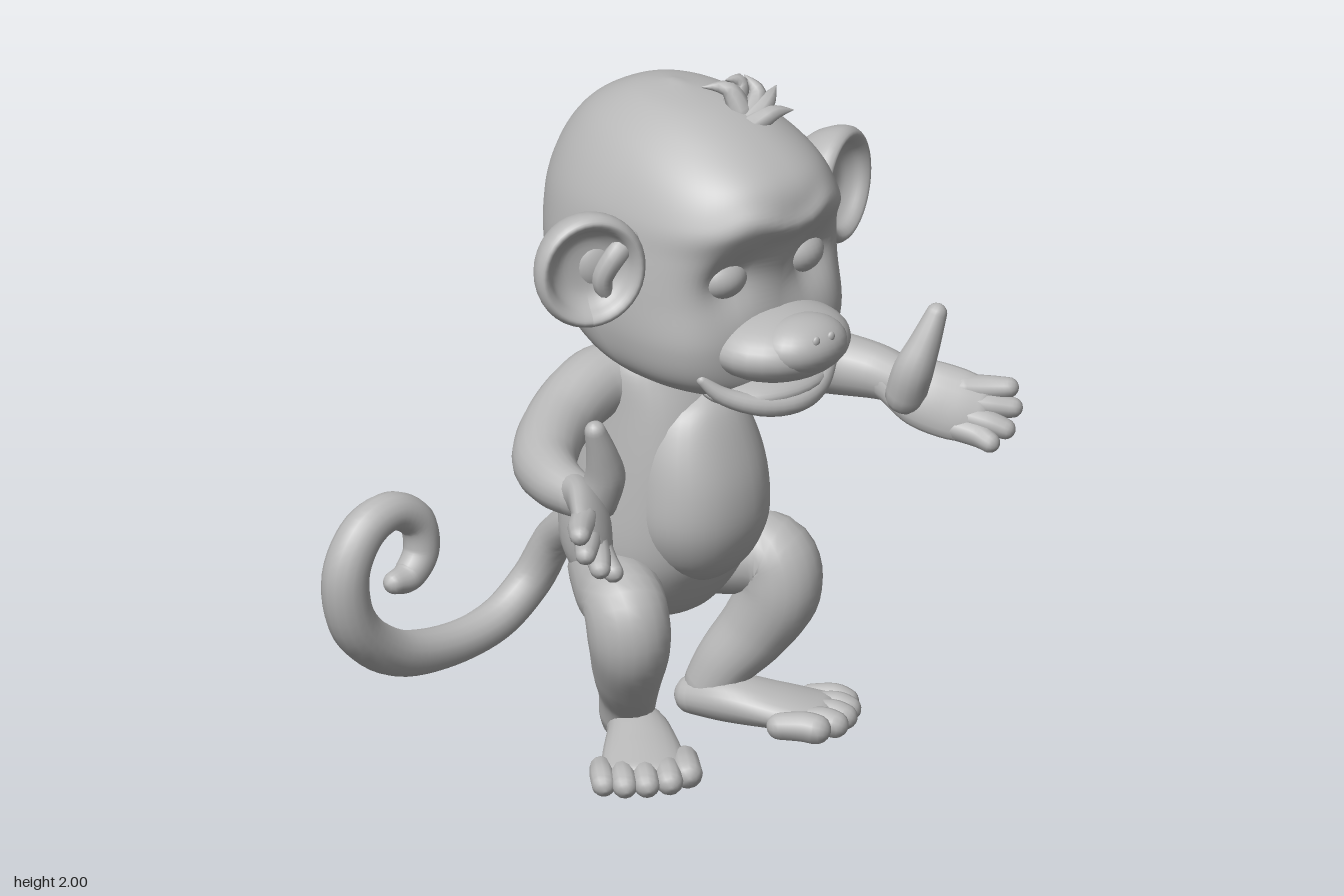
import * as THREE from 'three';

const fur = new THREE.MeshStandardMaterial({ color: 0xb8b8b8 });
fur.name = 'plain grey';

// Catmull-Rom interpolation of every column in a list of rows
function spline(rows, t) {
  const n = rows.length - 1;
  const i = Math.min(Math.floor(t * n), n - 1), f = t * n - i;
  const [a, b, c, d] = [-1, 0, 1, 2].map(o => rows[Math.min(Math.max(i + o, 0), n)]);
  return b.map((_, k) => b[k] + 0.5 * f * (c[k] - a[k] + f * (2 * a[k] - 5 * b[k] + 4 * c[k] - d[k]
    + f * (3 * (b[k] - c[k]) + d[k] - a[k]))));
}

// Closed smooth skin over rings of Vector3, with a pole at each end
function skin(rings) {
  const m = rings[0].length, n = rings.length, pos = [], idx = [];
  rings.forEach(r => r.forEach(p => pos.push(p.x, p.y, p.z)));
  for (const r of [rings[0], rings[n - 1]]) {
    const c = r.reduce((s, p) => s.add(p), new THREE.Vector3()).divideScalar(m);
    pos.push(c.x, c.y, c.z);
  }
  for (let j = 0; j < m; j++) {
    const k = (j + 1) % m;
    for (let i = 0; i < n - 1; i++) {
      const a = i * m + j, b = i * m + k;
      idx.push(a, b, b + m, a, b + m, a + m);
    }
    idx.push(n * m, k, j, n * m + 1, (n - 1) * m + j, (n - 1) * m + k);
  }
  const g = new THREE.BufferGeometry();
  g.setAttribute('position', new THREE.Float32BufferAttribute(pos, 3));
  g.setIndex(idx);
  g.computeVertexNormals();
  return g;
}

// Round-ended limb through rows [x, y, z, radius along hint, other radius]
function limb(rows, hint = [0, 1, 0], steps = 24, sides = 16) {
  rows = rows.map(r => (r.length < 5 ? [...r, r[3]] : r));
  const h = new THREE.Vector3(...hint), rings = [];
  const ring = (t, shift, scale) => {
    const [x, y, z, a, b] = spline(rows, t);
    const p = spline(rows, Math.max(t - 0.01, 0)), q = spline(rows, Math.min(t + 0.01, 1));
    const T = new THREE.Vector3(q[0] - p[0], q[1] - p[1], q[2] - p[2]).normalize();
    const U = h.clone().addScaledVector(T, -T.dot(h)).normalize();
    const V = T.clone().cross(U);
    const c = new THREE.Vector3(x, y, z).addScaledVector(T, shift * Math.min(a, b));
    rings.push(Array.from({ length: sides }, (_, j) => {
      const w = j / sides * Math.PI * 2;
      return c.clone().addScaledVector(U, a * scale * Math.cos(w)).addScaledVector(V, b * scale * Math.sin(w));
    }));
  };
  const caps = [0.15, 0.5, 0.85, 1.2];
  caps.forEach(w => ring(0, -Math.cos(w), Math.sin(w)));
  for (let i = 0; i <= steps; i++) ring(i / steps, 0, 1);
  caps.reverse().forEach(w => ring(1, Math.cos(w), Math.sin(w)));
  return skin(rings);
}

// Upright body from rows [y, half width, front z, back z, front power]; a lower power is squarer
function stack(rows, steps, sides, rule) {
  return skin(Array.from({ length: steps + 1 }, (_, i) => {
    const [y, w, f, b, power] = spline(rows, i / steps);
    return Array.from({ length: sides }, (_, j) => {
      const a = j / sides * Math.PI * 2, s = Math.sin(a), c = Math.cos(a);
      const e = c > 0 ? power : 0.9;
      const p = new THREE.Vector3(Math.sign(s) * Math.abs(s) ** e * Math.max(w, 0.002), y,
        (f + b) / 2 + Math.sign(c) * Math.abs(c) ** Math.min(e + 0.1, 1) * (f - b) / 2);
      if (rule) rule(p, c);
      return p;
    });
  }));
}

const ball = (c, r) => new THREE.SphereGeometry(1, 28, 20).scale(...r).translate(...c);

function part(parent, name, geometry) {
  const m = new THREE.Mesh(geometry, fur);
  m.name = name;
  parent.add(m);
}

// Mirror a geometry across x = 0, keeping faces outward
function mirrored(g) {
  const c = g.clone().scale(-1, 1, 1);
  const ix = c.index.array;
  for (let i = 0; i < ix.length; i += 3) [ix[i], ix[i + 1]] = [ix[i + 1], ix[i]];
  c.computeVertexNormals();
  return c;
}

function pair(parent, name, geometry) {
  part(parent, 'left ' + name, geometry);
  part(parent, 'right ' + name, mirrored(geometry));
}

const bump = (d, w) => Math.exp(-((d / w) ** 2));

// Eye sockets, heart-shaped brow and nose bridge pressed into the face
function shapeFace(p, front) {
  if (front <= 0) return;
  const ax = Math.abs(p.x);
  const brow = 1.655 + 0.05 * bump(ax - 0.13, 0.08) - 0.08 * Math.max(0, ax - 0.2);
  p.z -= 0.06 * bump(ax - 0.14, 0.09) * bump(p.y - 1.51, 0.08);
  p.z += 0.018 * bump(p.y - brow, 0.035) * bump(ax, 0.24);
  p.z += 0.012 * bump(ax, 0.04) * bump(p.y - 1.5, 0.1);
}

export function createModel() {
  const model = new THREE.Group();
  model.name = 'monkey';

  // Torso and round belly
  part(model, 'torso', stack([
    [0.355, 0.03, 0, -0.12, 0.9], [0.39, 0.15, 0.08, -0.2, 0.9], [0.48, 0.225, 0.15, -0.3, 0.85],
    [0.6, 0.25, 0.2, -0.345, 0.8], [0.8, 0.235, 0.21, -0.3, 0.8], [1.0, 0.215, 0.18, -0.23, 0.8],
    [1.12, 0.205, 0.135, -0.175, 0.85], [1.18, 0.165, 0.11, -0.14, 0.9], [1.25, 0.1, 0.09, -0.1, 0.9],
  ], 40, 36));
  part(model, 'belly', stack([
    [0.495, 0.01, 0.13, 0.06, 0.9], [0.52, 0.085, 0.19, 0, 0.9], [0.58, 0.155, 0.25, -0.05, 0.9],
    [0.68, 0.195, 0.288, -0.05, 0.9], [0.8, 0.195, 0.288, -0.05, 0.9], [0.92, 0.175, 0.258, -0.05, 0.9],
    [1.02, 0.125, 0.215, -0.02, 0.9], [1.07, 0.02, 0.16, 0.08, 0.9],
  ], 30, 32));

  // Head, with broad cheeks
  const head = new THREE.Group();
  head.name = 'head';
  model.add(head);
  part(head, 'skull', stack([
    [1.13, 0.06, 0.4, 0.25, 0.9], [1.165, 0.22, 0.43, 0, 0.75], [1.22, 0.305, 0.445, -0.16, 0.6],
    [1.32, 0.342, 0.45, -0.285, 0.52], [1.45, 0.348, 0.44, -0.355, 0.54], [1.58, 0.337, 0.465, -0.37, 0.6],
    [1.68, 0.32, 0.51, -0.355, 0.72], [1.78, 0.275, 0.485, -0.31, 0.82], [1.86, 0.21, 0.375, -0.235, 0.9],
    [1.92, 0.12, 0.22, -0.12, 0.9], [1.945, 0.01, 0.04, 0, 0.9],
  ], 80, 80, shapeFace));
  pair(head, 'closed eye', ball([0.14, 1.505, 0.335], [0.09, 0.07, 0.09]));

  // Muzzle, nose, nostrils, lower jaw and smiling lip
  part(head, 'muzzle', ball([0, 1.305, 0.44], [0.21, 0.1, 0.185]));
  part(head, 'nose', ball([0, 1.325, 0.54], [0.135, 0.08, 0.105]));
  pair(head, 'nostril', ball([0.027, 1.365, 0.627], [0.012, 0.014, 0.008]));
  part(head, 'jaw', ball([0, 1.17, 0.38], [0.2, 0.05, 0.145]));
  part(head, 'lower lip', limb([
    [-0.24, 1.235, 0.395, 0.015], [-0.19, 1.185, 0.43, 0.025], [-0.1, 1.15, 0.485, 0.03], [0, 1.14, 0.51, 0.03],
    [0.1, 1.15, 0.485, 0.03], [0.19, 1.185, 0.43, 0.025], [0.24, 1.235, 0.395, 0.015],
  ]));

  // Cupped ears: a thick, full-backed bowl turned outward
  const bowl = [[0.002, -0.14], [0.07, -0.138], [0.125, -0.11], [0.157, -0.05], [0.166, 0.005], [0.15, 0.034],
    [0.128, 0.022], [0.108, -0.01], [0.07, -0.035], [0.002, -0.04]];
  const cup = new THREE.LatheGeometry(
    new THREE.SplineCurve(bowl.map(p => new THREE.Vector2(...p))).getPoints(36), 36);
  cup.rotateX(Math.PI / 2).scale(0.95, 1, 0.9).rotateY(0.42).translate(0.457, 1.555, 0.178);
  pair(head, 'ear', cup);
  pair(head, 'ear root', ball([0.37, 1.55, 0.11], [0.1, 0.1, 0.07]));
  pair(head, 'ear fold', limb([[0.33, 1.62, 0.2, 0.03], [0.38, 1.59, 0.2, 0.032], [0.41, 1.52, 0.175, 0.03],
    [0.39, 1.46, 0.17, 0.022]], [0, 0, 1], 14, 10));

  // Hair tuft of bent spikes
  const spikes = [
    [[0.05, 1.9, 0.23], [0.03, 1.965, 0.2], [-0.03, 1.975, 0.16]],
    [[0.05, 1.91, 0.2], [0.07, 1.975, 0.2], [0.02, 1.995, 0.2]],
    [[0.07, 1.89, 0.25], [0.1, 1.95, 0.24], [0.09, 1.99, 0.2]],
    [[0.06, 1.88, 0.26], [0.11, 1.93, 0.27], [0.16, 1.955, 0.25]],
    [[0.04, 1.87, 0.27], [0.1, 1.905, 0.3], [0.16, 1.905, 0.32]],
  ];
  for (const s of spikes) {
    part(head, 'hair spike', limb(s.map((p, i) => [...p, [0.035, 0.024, 0.002][i]]), [0.2, 0.1, 1], 10, 8));
  }

  // Arms with open hands
  pair(model, 'arm', limb([
    [0.1, 1.08, -0.05, 0.1], [0.22, 1.07, -0.075, 0.1], [0.38, 1.015, -0.04, 0.094], [0.52, 0.975, 0.06, 0.09],
    [0.585, 0.965, 0.18, 0.077], [0.6, 0.96, 0.29, 0.062],
  ], [0, 1, 0], 36, 20));
  pair(model, 'palm', limb([
    [0.585, 0.96, 0.25, 0.065, 0.055], [0.61, 0.945, 0.34, 0.095, 0.048], [0.665, 0.92, 0.42, 0.1, 0.04],
    [0.71, 0.905, 0.47, 0.088, 0.033],
  ], [0.5, 0.85, -0.1], 16, 20));
  const tips = [[0.785, 0.962, 0.505], [0.782, 0.91, 0.525], [0.742, 0.862, 0.54], [0.69, 0.835, 0.535]];
  tips.forEach(([x, y, z], i) => pair(model, 'finger', limb([
    [0.695 - i * 0.018, 0.96 - i * 0.032, 0.42, 0.037], [(x + 0.7 - i * 0.01) / 2, (y + 0.955 - i * 0.03) / 2, z - 0.045, 0.036],
    [x, y, z, 0.029],
  ], [0, 1, 0], 10, 12)));
  pair(model, 'thumb', limb([
    [0.565, 0.95, 0.33, 0.058], [0.565, 1.03, 0.36, 0.057], [0.592, 1.11, 0.378, 0.044], [0.625, 1.19, 0.388, 0.03],
  ], [0, 0, 1], 16, 14));

  // Bent legs
  pair(model, 'leg', limb([
    [0.1, 0.48, -0.13, 0.125], [0.2, 0.48, 0, 0.118], [0.27, 0.485, 0.11, 0.115], [0.275, 0.39, 0.135, 0.112, 0.118],
    [0.235, 0.27, 0.08, 0.092, 0.105], [0.18, 0.17, 0.02, 0.076, 0.088], [0.155, 0.09, -0.015, 0.07, 0.08],
  ], [1, 0, 0], 40, 20));

  // Feet with rounded toes
  pair(model, 'foot', limb([
    [0.13, 0.06, -0.05, 0.056, 0.065], [0.17, 0.07, 0.05, 0.066, 0.085], [0.25, 0.057, 0.16, 0.054, 0.11],
    [0.325, 0.043, 0.25, 0.04, 0.12],
  ], [0, 1, 0], 20, 22));
  const toes = [[0.235, 0.33, 0.042], [0.303, 0.332, 0.038], [0.362, 0.305, 0.036], [0.41, 0.268, 0.035], [0.445, 0.22, 0.034]];
  for (const [x, z, r] of toes) {
    pair(model, 'toe', limb([[x - 0.06, 0.045, z - 0.08, r * 0.9], [x - 0.02, 0.048, z - 0.03, r], [x, r + 0.002, z, r]],
      [0, 1, 0], 8, 12));
  }

  // Curled tail
  part(model, 'tail', limb([
    [0, 0.56, -0.28, 0.058], [0.01, 0.5, -0.4, 0.055], [0.03, 0.4, -0.52, 0.057], [0.0, 0.27, -0.58, 0.058],
    [-0.12, 0.175, -0.595, 0.058], [-0.3, 0.15, -0.595, 0.06], [-0.5, 0.19, -0.585, 0.066],
    [-0.65, 0.31, -0.575, 0.068], [-0.695, 0.47, -0.565, 0.066], [-0.64, 0.59, -0.56, 0.062],
    [-0.54, 0.63, -0.555, 0.055], [-0.45, 0.58, -0.55, 0.052], [-0.435, 0.49, -0.545, 0.05],
    [-0.485, 0.43, -0.54, 0.045], [-0.54, 0.425, -0.535, 0.033],
  ], [0, 0, 1], 80, 16));

  return model;
}
